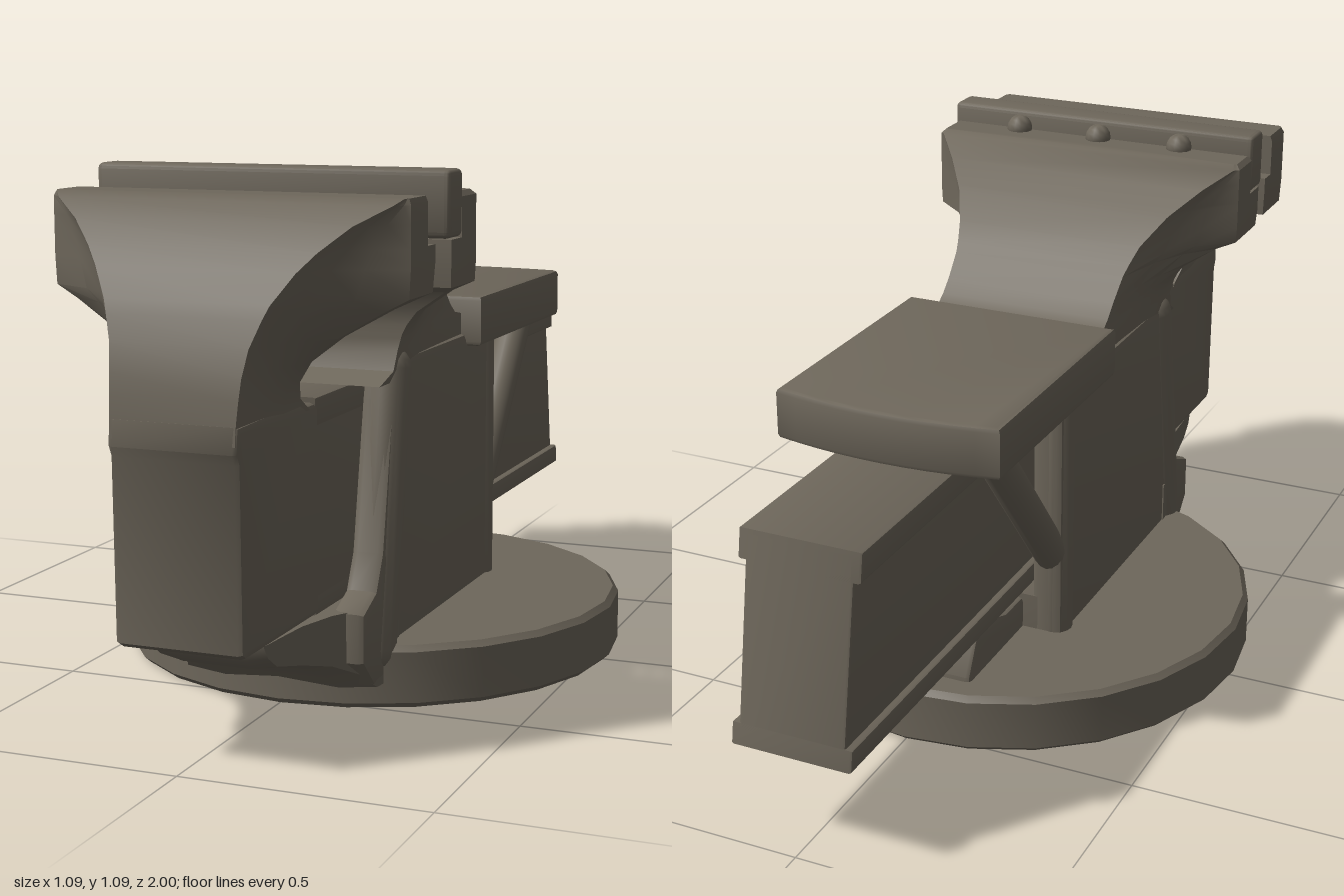
import * as THREE from 'three';
import { toCreasedNormals, mergeVertices } from 'three/addons/utils/BufferGeometryUtils.js';
import { RoundedBoxGeometry } from 'three/addons/geometries/RoundedBoxGeometry.js';

const castIron = new THREE.MeshStandardMaterial({ color: 0x6e675b });
castIron.name = 'castIron';

function add(parent, name, geometry, crease = 0.6) {
  const mesh = new THREE.Mesh(toCreasedNormals(geometry, crease), castIron);
  mesh.name = name;
  parent.add(mesh);
  return mesh;
}

// Side profile of [z, y] points, extruded across x0..x1 with a bevel inside the outline
function sideExtrude(points, x0, x1, bevel = 0.01) {
  const shape = new THREE.Shape(points.map(([z, y]) => new THREE.Vector2(z, y)));
  const g = new THREE.ExtrudeGeometry(shape, {
    depth: x1 - x0 - 2 * bevel, bevelEnabled: true, bevelSize: bevel,
    bevelThickness: bevel, bevelOffset: -bevel, bevelSegments: 2,
  });
  return g.rotateY(-Math.PI / 2).translate(x1 - bevel, 0, 0);
}

// Closed skin through rings of equal point count, faces turned outward
function loft(rings) {
  const n = rings[0].length, pos = rings.flat(2), idx = [];
  for (let i = 0; i < rings.length - 1; i++)
    for (let j = 0; j < n; j++) {
      const a = i * n + j, b = i * n + (j + 1) % n;
      idx.push(a, b, b + n, a, b + n, a + n);
    }
  [0, rings.length - 1].forEach((r, end) => {
    const c = pos.length / 3;
    for (let k = 0; k < 3; k++) pos.push(rings[r].reduce((s, p) => s + p[k], 0) / n);
    for (let j = 0; j < n; j++) {
      const a = r * n + j, b = r * n + (j + 1) % n;
      if (end) idx.push(c, a, b); else idx.push(c, b, a);
    }
  });
  const v = (i) => new THREE.Vector3().fromArray(pos, i * 3);
  let volume = 0;
  for (let i = 0; i < idx.length; i += 3)
    volume += v(idx[i]).dot(v(idx[i + 1]).cross(v(idx[i + 2])));
  if (volume < 0) idx.reverse();
  const g = new THREE.BufferGeometry();
  g.setAttribute('position', new THREE.Float32BufferAttribute(pos, 3));
  g.setIndex(idx);
  return mergeVertices(g);
}

// Jaw from rows of [y, face z, block z, back z, block half width, back half width]
function jaw(rows) {
  return loft(rows.map(([y, face, block, back, w, f]) => {
    const half = [
      [w, y, face], [w, y, block],
      [f + (w - f) * 0.55, y, block + (back - block) * 0.25],
      [f + (w - f) * 0.25, y, block + (back - block) * 0.55],
      [f, y, back],
    ];
    return [...half, ...half.map(([x, yy, z]) => [-x, yy, z]).reverse()];
  }));
}

// Round bar between two points
function bar(a, b, r) {
  const A = new THREE.Vector3(...a), B = new THREE.Vector3(...b);
  const d = B.clone().sub(A);
  const g = new THREE.CapsuleGeometry(r, d.length(), 4, 16);
  g.applyQuaternion(new THREE.Quaternion().setFromUnitVectors(
    new THREE.Vector3(0, 1, 0), d.normalize()));
  const m = A.add(B).multiplyScalar(0.5);
  return g.translate(m.x, m.y, m.z);
}

export function createModel() {
  const vise = new THREE.Group();
  vise.name = 'benchVise';
  const fixed = new THREE.Group();
  fixed.name = 'fixedBody';
  const moving = new THREE.Group();
  moving.name = 'movingJaw';
  vise.add(fixed, moving);

  // Round base
  const basePts = [[0, 0], [0.533, 0], [0.546, 0.012], [0.546, 0.118], [0.534, 0.13], [0, 0.13]];
  add(fixed, 'base', new THREE.LatheGeometry(
    basePts.map(([x, y]) => new THREE.Vector2(x, y)), 24));

  // Side walls with front and rear pillars, and braces under the anvil
  const wall = [[-0.2, 0.1], [-0.2, 0.7], [0.42, 0.7], [0.44, 0.62], [0.495, 0.32],
    [0.53, 0.25], [0.6, 0.22], [0.6, 0.12], [0.54, 0.06], [0.4, 0.06]];
  for (const s of [1, -1]) {
    add(fixed, 'sideWall', sideExtrude(wall, s > 0 ? 0.14 : -0.212, s > 0 ? 0.212 : -0.14, 0.015));
    add(fixed, 'frontPillar', bar([s * 0.185, 0.12, 0.48], [s * 0.182, 0.68, 0.39], 0.045));
    add(fixed, 'rearPillar', bar([s * 0.185, 0.12, -0.165], [s * 0.185, 0.7, -0.165], 0.036));
    add(fixed, 'brace', bar([s * 0.175, 0.3, -0.165], [s * 0.175, 0.69, -0.49], 0.038));
  }

  // Floor under the slide and the tongue behind it
  add(fixed, 'floor', sideExtrude([[-0.2, 0.1], [-0.2, 0.21], [0.5, 0.21], [0.5, 0.1]], -0.2, 0.2));
  add(fixed, 'rearTongue', sideExtrude(
    [[-0.15, 0.1], [-0.15, 0.2], [-0.28, 0.2], [-0.33, 0.218], [-0.43, 0.218], [-0.47, 0.14], [-0.47, 0.1]],
    -0.12, 0.12));

  // Nose that carries the slide: [z, half width, bottom y]
  const noseRows = [[0.42, 0.215, 0.04], [0.53, 0.21, 0.045], [0.57, 0.19, 0.08], [0.63, 0.155, 0.11],
    [0.72, 0.13, 0.135], [0.82, 0.122, 0.16], [0.855, 0.12, 0.185], [0.87, 0.118, 0.21]];
  add(fixed, 'nose', loft(noseRows.map(([z, w, y]) => [
    [w, y + 0.01, z], [w, 0.222, z], [-w, 0.222, z], [-w, y + 0.01, z],
    [-w * 0.6, y, z], [w * 0.6, y, z],
  ])));

  // Fixed neck and jaw
  add(fixed, 'fixedJaw', jaw([
    [0.655, 0.49, 0.3, -0.02, 0.2, 0.2], [0.68, 0.44, 0.36, -0.01, 0.21, 0.2],
    [0.72, 0.425, 0.37, 0.0, 0.213, 0.2], [0.745, 0.425, 0.37, 0.0, 0.22, 0.2],
    [0.752, 0.425, 0.37, 0.04, 0.222, 0.2], [0.772, 0.425, 0.37, 0.07, 0.232, 0.2],
    [0.8, 0.43, 0.38, 0.1, 0.255, 0.2], [0.845, 0.46, 0.41, 0.145, 0.325, 0.203],
    [0.865, 0.555, 0.415, 0.165, 0.37, 0.208], [0.9, 0.56, 0.415, 0.2, 0.372, 0.22],
    [0.95, 0.56, 0.415, 0.27, 0.372, 0.255], [0.957, 0.56, 0.415, 0.28, 0.372, 0.262],
    [0.957, 0.5, 0.415, 0.28, 0.372, 0.262], [1.0, 0.5, 0.415, 0.345, 0.372, 0.31],
    [1.035, 0.5, 0.415, 0.405, 0.372, 0.36], [1.045, 0.5, 0.425, 0.42, 0.362, 0.355],
  ]));
  const plate = add(fixed, 'jawPlate', new RoundedBoxGeometry(0.748, 0.13, 0.078, 2, 0.012));
  plate.position.set(0, 1.024, 0.536);
  for (const x of [-0.2, 0, 0.2]) {
    const bolt = add(fixed, 'jawBolt', new THREE.SphereGeometry(0.03, 12, 8), 1);
    bolt.position.set(x, 1.05, 0.488);
  }

  // Anvil with a bowed rear edge
  const top = new THREE.Shape();
  top.moveTo(-0.246, 0);
  top.lineTo(0.246, 0);
  top.lineTo(0.246, 0.588);
  top.quadraticCurveTo(0, 0.645, -0.246, 0.588);
  top.closePath();
  add(fixed, 'anvil', new THREE.ExtrudeGeometry(top, {
    depth: 0.09, bevelEnabled: true, bevelSize: 0.01, bevelThickness: 0.01,
    bevelOffset: -0.01, bevelSegments: 2, curveSegments: 10,
  }).rotateX(-Math.PI / 2).translate(0, 0.683, 0));

  // Slide: a web between two slightly wider flanges, sloped at the rear end
  const rear = (y) => -1 + (y - 0.225) * 0.07 / 0.43;
  const slideBar = (y0, y1, w) => sideExtrude(
    [[rear(y0), y0], [0.65, y0], [0.65, y1], [rear(y1), y1]], -w, w, 0.006);
  add(moving, 'slideWeb', slideBar(0.235, 0.645, 0.115));
  add(moving, 'slideBottomFlange', slideBar(0.225, 0.27, 0.131));
  add(moving, 'slideTopFlange', slideBar(0.595, 0.655, 0.131));

  // Front block joining the slide to the moving jaw
  add(moving, 'frontBlock', sideExtrude(
    [[0.4, 0.225], [0.97, 0.225], [0.985, 0.235], [0.99, 0.585], [1, 0.605], [0.997, 0.655],
      [0.72, 0.66], [0.69, 0.645], [0.4, 0.645]], -0.131, 0.131, 0.012));

  // Moving jaw
  add(moving, 'movingJawHead', jaw([
    [0.62, 0.65, 0.8, 0.999, 0.13, 0.125], [0.645, 0.69, 0.8, 0.997, 0.13, 0.125],
    [0.665, 0.725, 0.8, 0.995, 0.132, 0.126], [0.7, 0.745, 0.8, 0.99, 0.14, 0.128],
    [0.74, 0.747, 0.79, 0.983, 0.165, 0.131], [0.79, 0.742, 0.78, 0.967, 0.23, 0.138],
    [0.84, 0.71, 0.765, 0.947, 0.315, 0.155], [0.865, 0.635, 0.76, 0.935, 0.362, 0.165],
    [0.92, 0.63, 0.76, 0.9, 0.365, 0.2], [0.955, 0.63, 0.76, 0.872, 0.365, 0.23],
    [0.955, 0.67, 0.76, 0.872, 0.365, 0.23], [1.0, 0.67, 0.76, 0.83, 0.365, 0.28],
    [1.035, 0.67, 0.76, 0.785, 0.365, 0.34], [1.047, 0.67, 0.755, 0.765, 0.36, 0.355],
  ]));

  return vise;
}
